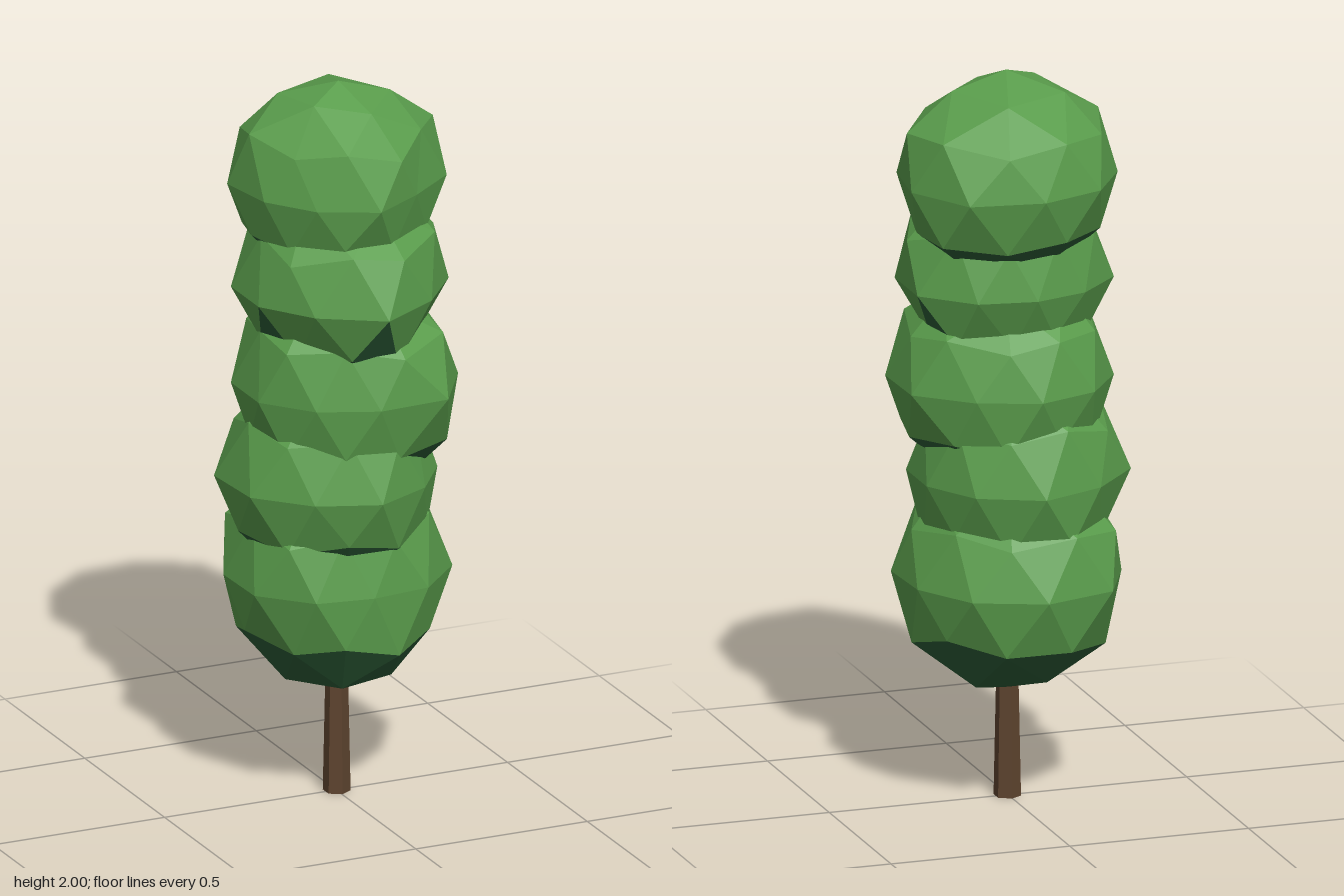
import * as THREE from 'three';
import { mergeVertices } from 'three/addons/utils/BufferGeometryUtils.js';

const material = (name, color) => {
  const m = new THREE.MeshStandardMaterial({ color, flatShading: true });
  m.name = name;
  return m;
};

// Small seeded random generator, -1 to 1
function seeded(seed) {
  let s = seed * 7919 + 17;
  return () => {
    s = (s * 16807) % 2147483647;
    return (s / 2147483647) * 2 - 1;
  };
}

// Radius at an angle, from ten radii spaced 36 degrees apart starting at 18 degrees
function ringRadius(ring, angle) {
  const k = ((THREE.MathUtils.radToDeg(angle) - 18) / 36 + 20) % 10;
  const i = Math.floor(k);
  return THREE.MathUtils.lerp(ring[i % 10], ring[(i + 1) % 10], k - i);
}

// Irregular faceted ball shaped by its widest ring; downward faces go in a second material group
function foliageGeometry({ y, height, taper, ring }, seed) {
  const base = new THREE.IcosahedronGeometry(1, 1);
  base.rotateX(-Math.atan((1 + Math.sqrt(5)) / 2)); // a corner points straight up
  base.rotateY(Math.PI / 2);
  base.deleteAttribute('uv');
  base.deleteAttribute('normal');
  const ball = mergeVertices(base, 1e-3);
  const rand = seeded(seed);
  for (let i = 0; i < 20; i++) rand();
  const p = ball.attributes.position;
  const v = new THREE.Vector3();
  for (let i = 0; i < p.count; i++) {
    v.fromBufferAttribute(p, i);
    const loose = Math.abs(v.y) < 0.01 ? 0 : 0.014; // the widest ring stays exact
    const r = ringRadius(ring, Math.atan2(v.z, v.x)) * (1 + taper * Math.min(v.y, 0));
    const rise = Math.abs(v.y) > 0.99 ? 0 : loose * rand();
    p.setXYZ(i, v.x * r + loose * rand(), y + v.y * height + rise, v.z * r + loose * rand());
  }

  // Sort the faces into leafy sides and darker underside
  const sides = [], under = [];
  const idx = ball.index;
  const tri = new THREE.Triangle();
  for (let i = 0; i < idx.count; i += 3) {
    const face = [idx.getX(i), idx.getX(i + 1), idx.getX(i + 2)];
    tri.setFromAttributeAndIndices(p, ...face);
    tri.getNormal(v);
    (v.y < -0.5 ? under : sides).push(...face);
  }
  ball.setIndex([...sides, ...under]);
  const flat = ball.toNonIndexed();
  flat.addGroup(0, sides.length, 0);
  flat.addGroup(sides.length, under.length, 1);
  flat.computeVertexNormals();
  return flat;
}

export function createModel() {
  const tree = new THREE.Group();
  tree.name = 'tree';
  const bark = material('bark brown', 0x5d432e);
  const leaf = material('leaf green', 0x5a9d4c);
  const shade = material('underside green', 0x2c5c37);

  // Trunk
  const trunkGeo = new THREE.CylinderGeometry(0.027, 0.037, 0.48, 6);
  trunkGeo.translate(0.002, 0.24, 0);
  const trunk = new THREE.Mesh(trunkGeo, bark);
  trunk.name = 'trunk';
  tree.add(trunk);

  // Five stacked foliage clumps, bottom to top; rings run from +x towards +z
  const clumps = [
    { y: 0.62, height: 0.32, taper: 0, ring: [0.31, 0.28, 0.245, 0.27, 0.295, 0.3, 0.339, 0.335, 0.32, 0.3] },
    { y: 0.9, height: 0.31, taper: 0, ring: [0.27, 0.27, 0.295, 0.285, 0.31, 0.325, 0.3, 0.315, 0.29, 0.27] },
    { y: 1.16, height: 0.3, taper: 0, ring: [0.325, 0.34, 0.285, 0.27, 0.28, 0.28, 0.28, 0.285, 0.28, 0.32] },
    { y: 1.43, height: 0.3, taper: 0.3, ring: [0.3, 0.29, 0.335, 0.285, 0.28, 0.28, 0.25, 0.245, 0.27, 0.3] },
    { y: 1.72, height: 0.28, taper: 0, ring: [0.295, 0.245, 0.285, 0.26, 0.26, 0.29, 0.3, 0.31, 0.344, 0.32] },
  ];
  clumps.forEach((shape, i) => {
    const clump = new THREE.Mesh(foliageGeometry(shape, i + 3), [leaf, shade]);
    clump.name = `foliageClump${i + 1}`;
    tree.add(clump);
  });
  return tree;
}
